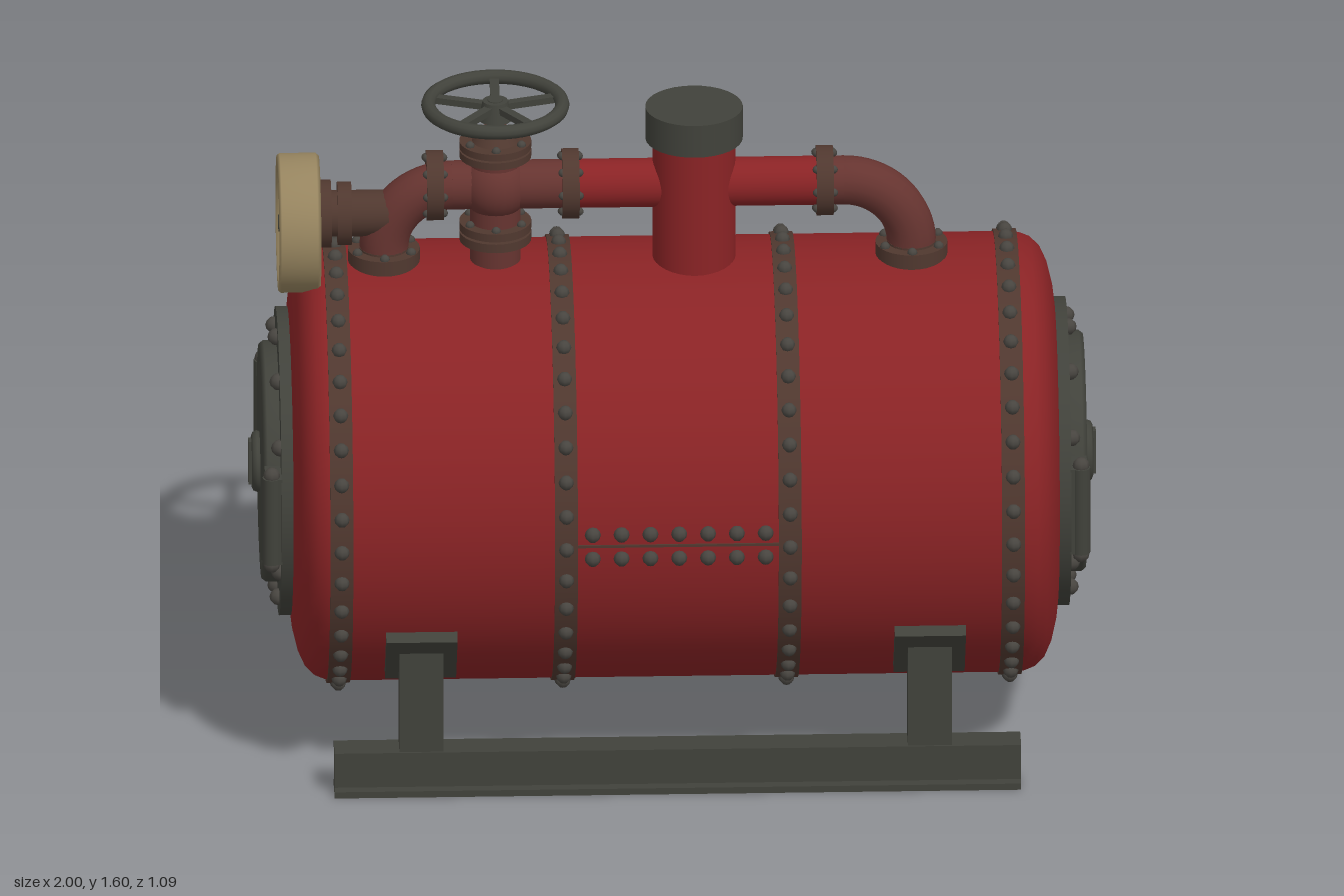
import * as THREE from 'three';
import { mergeGeometries } from 'three/addons/utils/BufferGeometryUtils.js';

const CY = 0.67, R = 0.52; // tank axis height and radius

export function createModel() {
  const model = new THREE.Group();
  const paint = (name, color) => {
    const m = new THREE.MeshStandardMaterial({ color });
    m.name = name;
    return m;
  };
  const red = paint('red paint', 0x8a2325);
  const rustPipe = paint('rusty pipe', 0x663430);
  const rust = paint('rusty iron', 0x50382f);
  const iron = paint('dark iron', 0x41423b);
  const steel = paint('rivet steel', 0x484540);
  const brass = paint('aged brass', 0x96845f);
  const dial = paint('dial face', 0x8b7c5c);

  const add = (name, geos, mat, parent = model) => {
    const mesh = new THREE.Mesh(Array.isArray(geos) ? mergeGeometries(geos) : geos, mat);
    mesh.name = name;
    parent.add(mesh);
    return mesh;
  };
  const box = (w, h, d, x, y, z) => new THREE.BoxGeometry(w, h, d).translate(x, y, z);
  const cylY = (r, y0, y1, x, z = 0, r2 = r, n = 32) =>
    new THREE.CylinderGeometry(r2, r, y1 - y0, n).translate(x, (y0 + y1) / 2, z);
  const cylX = (r, x0, x1, y, z = 0, n = 32) =>
    new THREE.CylinderGeometry(r, r, x1 - x0, n).rotateZ(-Math.PI / 2).translate((x0 + x1) / 2, y, z);
  const rivet = (x, y, z, r = 0.018) => new THREE.SphereGeometry(r, 8, 6).translate(x, y, z);
  // Bolt circles around the x axis and around the y axis
  const boltsX = (n, rad, x, y, r, skip = () => false) => {
    const out = [];
    for (let i = 0; i < n; i++) {
      if (skip(i)) continue;
      const a = (i / n) * Math.PI * 2;
      out.push(rivet(x, y + Math.cos(a) * rad, Math.sin(a) * rad, r));
    }
    return out;
  };
  const boltsY = (n, rad, y, x, r) => {
    const out = [];
    for (let i = 0; i < n; i++) {
      const a = ((i + 0.5) / n) * Math.PI * 2;
      out.push(rivet(x + Math.cos(a) * rad, y, Math.sin(a) * rad, r));
    }
    return out;
  };

  // Tank shell with rounded ends
  const half = [[0, 0.908], [0.34, 0.907], [0.4, 0.9], [0.45, 0.888], [0.485, 0.872],
    [0.507, 0.85], [0.517, 0.825], [R, 0.79], [R, 0.76]];
  const profile = [...half.map(([r, x]) => new THREE.Vector2(r, -x)),
    ...half.slice().reverse().map(([r, x]) => new THREE.Vector2(r, x))];
  add('tank', new THREE.LatheGeometry(profile, 72).rotateZ(-Math.PI / 2).translate(0, CY, 0), red);

  // Riveted bands
  for (const x of [-0.795, -0.265, 0.263, 0.79]) {
    add('band', cylX(R + 0.006, x - 0.027, x + 0.027, CY, 0, 72), rust);
    add('bandRivets', boltsX(40, R + 0.007, x, CY, 0.018), steel);
  }

  // Side seams with two rows of rivets, front and back
  for (const s of [1, -1]) {
    const rivets = [];
    for (let i = 0; i < 7; i++)
      for (const y of [0.705, 0.643]) rivets.push(rivet(-0.203 + i * 0.068, y, s * R, 0.019));
    add('seamRivets', rivets, steel);
    add('seam', box(0.48, 0.006, 0.008, 0, 0.676, s * R), rust);
  }

  // End hatches, mirrored by half a turn
  for (const turn of [0, Math.PI]) {
    const hatch = new THREE.Group();
    hatch.name = 'hatch';
    hatch.rotation.y = turn;
    model.add(hatch);
    add('hatchFlange', cylX(0.365, 0.89, 0.932, CY, 0, 64), iron, hatch);
    add('hatchBolts', boltsX(12, 0.322, 0.935, CY, 0.02, i => i % 6 === 3), steel, hatch);
    const door = [[0.285, 0.92], [0.285, 0.962], [0.277, 0.972], [0.25, 0.972], [0.246, 0.964],
      [0.238, 0.964], [0.234, 0.972], [0, 0.974]].map(p => new THREE.Vector2(...p));
    add('hatchDoor', new THREE.LatheGeometry(door, 64).rotateZ(-Math.PI / 2).translate(0, CY, 0), iron, hatch);
    add('hatchHandle', [
      new THREE.TorusGeometry(0.06, 0.013, 8, 32).rotateY(Math.PI / 2).translate(0.98, CY, 0),
      cylX(0.035, 0.96, 0.988, CY),
      box(0.026, 0.11, 0.026, 0.987, CY, 0),
    ], iron, hatch);
    for (const s of [1, -1]) {
      add('hinge', [
        cylY(0.022, CY - 0.11, CY + 0.11, 0.955, s * 0.335, 0.022, 12),
        box(0.04, 0.03, 0.08, 0.95, CY + 0.095, s * 0.31),
        box(0.04, 0.03, 0.08, 0.95, CY - 0.095, s * 0.31),
        box(0.03, 0.2, 0.04, 0.935, CY, s * 0.33),
      ], iron, hatch);
      add('hingePins', [rivet(0.955, CY + 0.115, s * 0.335, 0.02), rivet(0.955, CY - 0.115, s * 0.335, 0.02)], steel, hatch);
    }
  }

  // Base: I-beam rails, cross beams, legs and saddle plates
  for (const s of [1, -1]) {
    const z = s * 0.417;
    add('rail', [
      box(1.62, 0.016, 0.076, 0, 0.008, z),
      box(1.62, 0.09, 0.024, 0, 0.058, z),
      box(1.62, 0.016, 0.076, 0, 0.108, z),
    ], iron);
    for (const x of [-0.605, 0.595]) {
      add('leg', box(0.104, 0.27, 0.058, x, 0.25, s * 0.421), iron);
      const plate = add('saddlePlate', new THREE.BoxGeometry(0.168, 0.18, 0.03), iron);
      plate.position.set(x, CY - 0.317, s * 0.417);
      plate.rotation.x = s * 0.66;
    }
  }
  for (const x of [-0.605, 0.595]) add('crossBeam', box(0.07, 0.046, 0.82, x, 0.053, 0), iron);

  // Steam pipe: straight run, two elbows and flanges
  const PY = 1.38, PR = 0.058, E = 0.16, XL = -0.68, XR = 0.565;
  add('pipeRun', cylX(PR, -0.24, 0.36, PY), red);
  add('pipeEnds', [cylX(PR, XL + E, -0.24, PY), cylX(PR, 0.36, XR - E, PY)], rustPipe);
  const elbow = turn => new THREE.TorusGeometry(E, PR, 16, 16, Math.PI / 2).rotateZ(turn);
  add('elbowLeft', elbow(0).translate(XR - E, PY - E, 0), rustPipe);
  add('elbowRight', elbow(Math.PI / 2).translate(XL + E, PY - E, 0), rustPipe);
  for (const x of [XL, XR]) {
    add('footFlange', [cylY(0.085, 1.17, 1.22, x), cylY(PR, 1.17, 1.225, x)], rust);
    add('footBolts', boltsY(6, 0.073, 1.222, x, 0.012), steel);
  }
  for (const x of [-0.56, -0.24, 0.36]) {
    add('pipeFlange', cylX(0.083, x - 0.02, x + 0.02, PY), rust);
    add('flangeBolts', [...boltsX(8, 0.071, x - 0.02, PY, 0.01), ...boltsX(8, 0.071, x + 0.02, PY, 0.01)], steel);
  }

  // Chimney
  add('chimney', cylY(0.098, 1.15, 1.52, 0.052), red);
  add('chimneyCap', cylY(0.115, 1.495, 1.577, 0.052), iron);

  // Valve with handwheel
  const VX = -0.417;
  add('valveBody', [
    new THREE.SphereGeometry(0.082, 24, 16).translate(VX, PY, 0),
    cylY(0.06, 1.16, 1.46, VX),
  ], rustPipe);
  add('valveFlanges', [
    cylY(0.085, 1.24, 1.262, VX), cylY(0.085, 1.268, 1.288, VX),
    cylY(0.085, 1.455, 1.473, VX), cylY(0.085, 1.478, 1.495, VX),
    cylY(0.055, 1.495, 1.525, VX, 0, 0.035),
  ], rust);
  add('valveBolts', [...boltsY(6, 0.07, 1.497, VX, 0.011), ...boltsY(6, 0.07, 1.29, VX, 0.011)], steel);
  add('valveStem', [cylY(0.018, 1.5, 1.6, VX, 0, 0.018, 12), cylY(0.04, 1.55, 1.598, VX, 0, 0.03, 16)], iron);
  const wheel = [new THREE.TorusGeometry(0.158, 0.017, 10, 48).rotateX(Math.PI / 2).translate(VX, 1.587, 0)];
  for (let i = 0; i < 5; i++)
    wheel.push(new THREE.BoxGeometry(0.14, 0.016, 0.022).translate(0.085, 0, 0)
      .rotateY((i / 5) * Math.PI * 2 + 0.3).translate(VX, 1.582, 0));
  add('handwheel', wheel, iron);

  // Pressure gauge on a short stub
  const GY = 1.287;
  add('gaugeStub', [cylX(0.055, -0.84, -0.66, 1.31), cylX(0.08, -0.835, -0.805, 1.31), cylX(0.075, -0.79, -0.757, 1.31)], rust);
  const rim = [[0, -0.832], [0.158, -0.832], [0.165, -0.84], [0.165, -0.925], [0.16, -0.931],
    [0.143, -0.931], [0.14, -0.915]].reverse().map(([r, x]) => new THREE.Vector2(r, x));
  add('gaugeCase', new THREE.LatheGeometry(rim, 48).rotateZ(-Math.PI / 2).translate(0, GY, 0), brass);
  add('gaugeFace', cylX(0.142, -0.922, -0.915, GY, 0, 48), dial);
  add('gaugeNeedle', [
    new THREE.BoxGeometry(0.006, 0.11, 0.012).translate(0, 0.035, 0).rotateX(0.5).translate(-0.925, GY, 0),
    cylX(0.02, -0.929, -0.92, GY, 0, 16),
  ], iron);

  return model;
}
